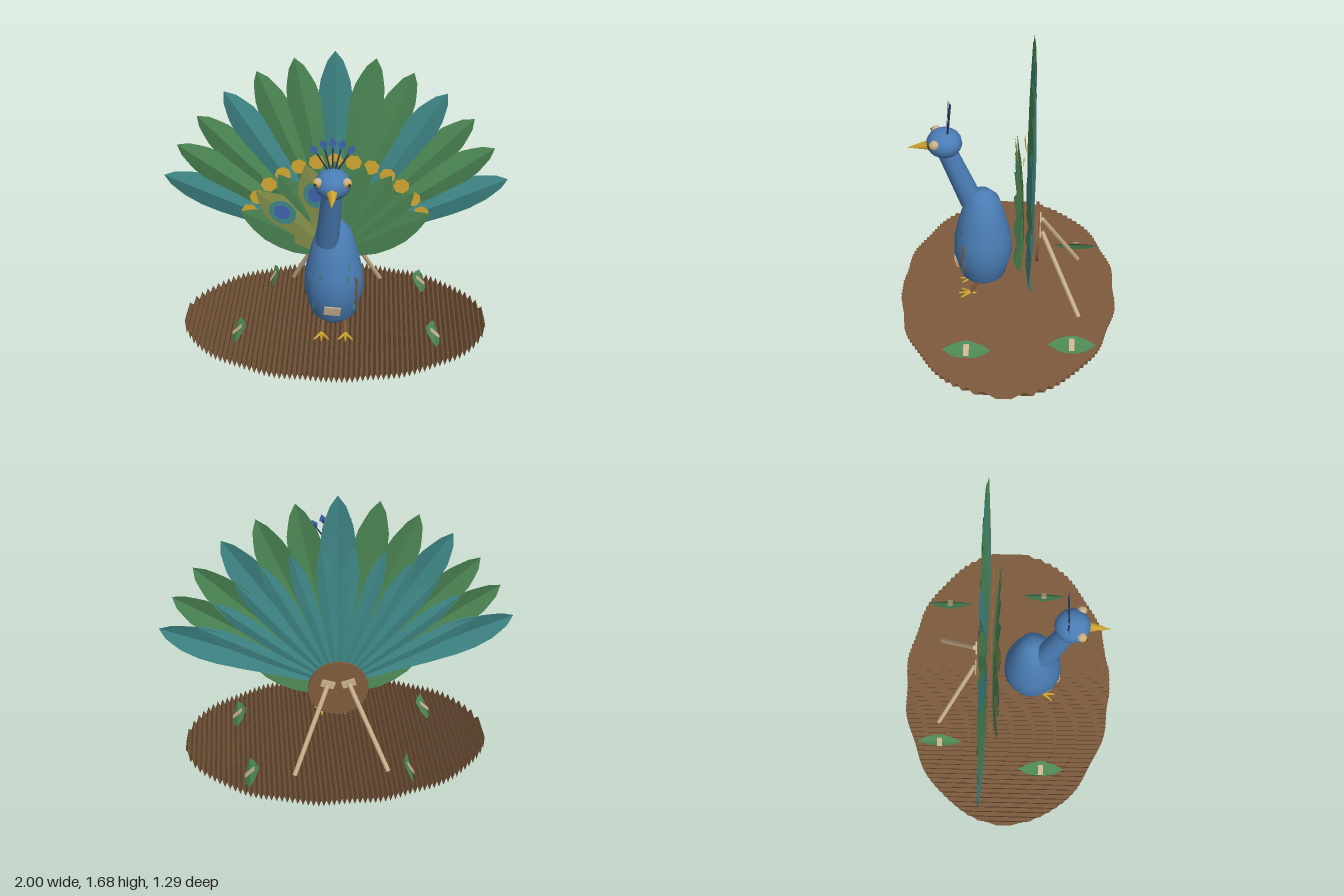
import * as THREE from 'three';

const mat = (name, color, side = THREE.DoubleSide) => {
  const m = new THREE.MeshStandardMaterial({ color, side });
  m.name = name;
  return m;
};
const M = {
  blue: mat('peacock blue', 0x4a7db5),
  teal: mat('teal', 0x3f8787),
  green: mat('leaf green', 0x4c8754),
  olive: mat('olive', 0x86934a),
  gold: mat('gold', 0xd2a630),
  brown: mat('cardboard brown', 0x7f5c3e),
  tan: mat('tan', 0xcbb28e),
  navy: mat('dark navy', 0x2b3652),
  indigo: mat('indigo', 0x4064b0),
};
const V = (x, y, z) => new THREE.Vector3(x, y, z);

function add(parent, name, geo, material, x = 0, y = 0, z = 0) {
  const m = new THREE.Mesh(geo, material);
  m.name = name;
  m.position.set(x, y, z);
  parent.add(m);
  return m;
}

// round stick between two points
function stick(parent, name, a, b, r0, r1, material, sides = 8) {
  const d = b.clone().sub(a);
  const m = add(parent, name, new THREE.CylinderGeometry(r1, r0, d.length(), sides), material);
  m.position.copy(a).addScaledVector(d, 0.5);
  m.quaternion.setFromUnitVectors(V(0, 1, 0), d.normalize());
  return m;
}

// half-width of a blade along its length, interpolated from a few stations
function profile(stations, t) {
  for (let i = 1; i < stations.length; i++) {
    const [t0, w0] = stations[i - 1], [t1, w1] = stations[i];
    if (t <= t1) return w0 + (w1 - w0) * (t - t0) / (t1 - t0);
  }
  return 0;
}
const PLUME = [[0, 0.1], [0.25, 0.5], [0.5, 0.86], [0.65, 1], [0.75, 1], [0.85, 0.84], [0.94, 0.5], [0.98, 0.24], [1, 0]];
const COVERT = [[0, 0.25], [0.15, 0.62], [0.35, 0.95], [0.5, 1], [0.65, 0.92], [0.8, 0.64], [0.92, 0.3], [1, 0]];
const LEAF = [[0, 0], [0.2, 0.6], [0.45, 1], [0.55, 1], [0.8, 0.6], [1, 0]];

// blade creased along its midrib, growing from the origin up +y
function blade(length, half, fold, bow, stations) {
  const g = new THREE.PlaneGeometry(2, 1, 2, 20);
  const p = g.attributes.position;
  for (let i = 0; i < p.count; i++) {
    const s = p.getX(i), t = p.getY(i) + 0.5, w = profile(stations, t);
    p.setXYZ(i, s * w * half, t * length, bow * Math.sin(Math.PI * t) - Math.abs(s) * w * fold);
  }
  const flat = g.toNonIndexed();
  flat.computeVertexNormals();
  return flat;
}

function makeBase(parent) {
  // corrugated sheet: ridges run front to back, trimmed to a wavy oval
  const n = 124, a = 0.905, g = new THREE.PlaneGeometry(2 * a, 2, n, 1);
  const p = g.attributes.position;
  for (let i = 0; i < p.count; i++) {
    const x = p.getX(i), end = -Math.sign(p.getY(i));
    const h = 0.645 * Math.sqrt(Math.max(0.004, 1 - (x / a) ** 2)) + 0.008 * Math.sin(x * 17 + end);
    p.setXYZ(i, x, i % (n + 1) % 2 ? 0.042 : 0, end * Math.min(h, 0.645));
  }
  const flat = g.toNonIndexed();
  flat.computeVertexNormals();
  add(parent, 'base', flat, M.brown);
}

function makeTail(parent) {
  const tail = new THREE.Group();
  tail.name = 'tailFan';
  parent.add(tail);
  const step = 0.1955;
  // long plumes
  for (let i = -6; i <= 6; i++) {
    const k = Math.abs(i);
    const m = add(tail, 'plume', blade(1.195 - 0.0185 * k, 0.1, 0.028, 0.02, PLUME),
      k % 3 ? M.green : M.teal, 0, 0.48, -0.135 + 0.004 * (i & 1));
    m.rotation.z = -i * step;
    // gold scraps in an arc across the plumes
    const s = add(tail, 'goldScrap', new THREE.CircleGeometry(0.048, 7), M.gold,
      Math.sin(i * step) * 0.545, 0.48 + Math.cos(i * step) * 0.545, -0.092 + 0.002 * (i & 1));
    s.rotation.z = i;
  }
  // narrow plumes filling the back
  for (let i = -6; i < 6; i++) {
    const m = add(tail, 'backPlume', blade(0.9, 0.05, -0.012, -0.008, PLUME), M.teal, 0, 0.48, -0.148);
    m.rotation.z = -(i + 0.5) * step;
  }
  // short plumes in front, two of them with eye spots
  for (let i = -4; i <= 4; i++) {
    const k = Math.abs(i), eyed = i === -3 || i === -1;
    const m = add(tail, 'shortPlume', blade(0.63, 0.12, 0.012, 0, COVERT),
      eyed ? M.olive : M.green, 0, 0.42, -0.082 + (eyed ? 0.006 : 0) - 0.002 * k);
    m.rotation.order = 'ZYX';
    m.rotation.set(0.07, 0, -i * 0.272);
    if (!eyed) continue;
    const outer = add(m, 'eyeSpotRing', new THREE.CircleGeometry(0.07, 20), M.teal, 0, 0.42, 0.003);
    outer.scale.y = 1.25;
    const inner = add(m, 'eyeSpotCentre', new THREE.CircleGeometry(0.042, 20), M.indigo, 0, 0.425, 0.006);
    inner.scale.y = 1.25;
  }
  // hub disc and props behind
  add(tail, 'hub', new THREE.CylinderGeometry(0.175, 0.175, 0.016, 28), M.brown, 0, 0.48, -0.172).rotation.x = Math.PI / 2;
  for (const s of [-1, 1]) {
    stick(tail, 'prop', V(s * 0.06, 0.525, -0.2), V(s * 0.27, 0.06, -0.425), 0.014, 0.014, M.tan);
    const t = add(tail, 'propTape', new THREE.BoxGeometry(0.08, 0.045, 0.008), M.tan, s * 0.06, 0.52, -0.19);
    t.rotation.z = s * 0.3;
  }
}

function makeBird(parent) {
  const bird = new THREE.Group();
  bird.name = 'bird';
  parent.add(bird);
  const pts = [[0, 0.135], [0.08, 0.135], [0.13, 0.18], [0.172, 0.33], [0.167, 0.45], [0.135, 0.585], [0.098, 0.71], [0.045, 0.765], [0, 0.765]];
  add(bird, 'body', new THREE.LatheGeometry(pts.map(([r, y]) => new THREE.Vector2(r, y)), 24), M.blue, 0, 0, 0.15);
  stick(bird, 'neck', V(-0.035, 0.67, 0.215), V(0, 1.07, 0.36), 0.068, 0.055, M.blue, 16);
  add(bird, 'head', new THREE.SphereGeometry(1, 16, 10), M.blue, 0, 1.095, 0.36).scale.set(0.1, 0.085, 0.102);
  const beak = stick(bird, 'beak', V(0, 1.08, 0.44), V(0, 1.056, 0.57), 0.034, 0.001, M.gold, 6);
  beak.material = M.gold;

  for (const s of [-1, 1]) {
    // eyes
    const eye = add(bird, 'eye', new THREE.SphereGeometry(0.028, 12, 8), M.tan, s * 0.078, 1.125, 0.41);
    add(eye, 'iris', new THREE.SphereGeometry(0.018, 10, 8), M.gold, s * 0.008, 0, 0.014);
    add(eye, 'pupil', new THREE.SphereGeometry(0.01, 8, 6), M.navy, s * 0.013, 0, 0.025);
    // legs and toes
    stick(bird, 'leg', V(s * 0.06, 0.15, 0.175), V(s * 0.07, 0.055, 0.225), 0.012, 0.01, M.brown);
    for (const a of [-0.65, 0, 0.65, Math.PI])
      stick(bird, 'toe', V(s * 0.07, 0.06, 0.225),
        V(s * 0.07 + Math.sin(a) * 0.07, 0.05, 0.225 + Math.cos(a) * (a > 3 ? 0.035 : 0.07)), 0.01, 0.005, M.gold, 6);
  }

  // crest of thin stems with diamond tips
  for (let i = -2; i <= 2; i++) {
    const tip = V(i * 0.05, 1.325 - 0.01 * i * i, 0.327);
    stick(bird, 'crestStem', V(i * 0.012, 1.165, 0.338), tip, 0.005, 0.004, M.navy, 5);
    const d = add(bird, 'crestTip', new THREE.CircleGeometry(0.034, 4), M.indigo, tip.x, tip.y, tip.z + 0.006);
    d.scale.x = 0.65;
    d.rotation.z = -i * 0.25;
  }

  // tape patch, flecks and twine on the body
  const patch = add(bird, 'bodyPatch', new THREE.BoxGeometry(0.095, 0.06, 0.008), M.tan, -0.005, 0.26, 0.31);
  patch.rotation.set(0.25, 0, -0.1);
  for (const [a, y, r] of [[-0.9, 0.42, 0.17], [-0.45, 0.47, 0.164], [0.5, 0.465, 0.165], [0.62, 0.53, 0.15], [0.8, 0.27, 0.159], [-0.75, 0.28, 0.162]]) {
    const f = add(bird, 'bodyFleck', new THREE.CircleGeometry(0.03, 6), M.teal,
      Math.sin(a) * (r + 0.004), y, 0.15 + Math.cos(a) * (r + 0.004));
    f.scale.x = 0.3;
    f.rotation.set(0, a, 0.25 * Math.sign(a));
  }
  const twine = new THREE.CatmullRomCurve3([V(0.126, 0.455, 0.262), V(0.135, 0.41, 0.257), V(0.131, 0.36, 0.265), V(0.132, 0.31, 0.254), V(0.125, 0.27, 0.25)]);
  add(bird, 'twine', new THREE.TubeGeometry(twine, 16, 0.007, 5), M.brown);
}

function makeLeaves(parent) {
  // x, z, half width, tilt
  for (const [x, z, half, tilt] of [[-0.4, -0.415, 0.05, 1.05], [0.525, -0.385, 0.055, -0.75], [-0.565, 0.215, 0.055, 0.75], [0.59, 0.22, 0.055, -0.75]]) {
    const leaf = new THREE.Group();
    leaf.name = 'leaf';
    leaf.position.set(x, 0.066, z);
    leaf.rotation.z = tilt;
    parent.add(leaf);
    const b = add(leaf, 'leafBlade', blade(0.28, half, 0.012, 0, LEAF), M.green, 0, 0, 0.14);
    b.rotation.x = -Math.PI / 2;
    add(leaf, 'leafTape', new THREE.BoxGeometry(0.07, 0.006, 0.032), M.tan, 0, 0.003, 0);
  }
}

export function createModel() {
  const model = new THREE.Group();
  model.name = 'peacock';
  makeBase(model);
  makeTail(model);
  makeBird(model);
  makeLeaves(model);
  return model;
}
